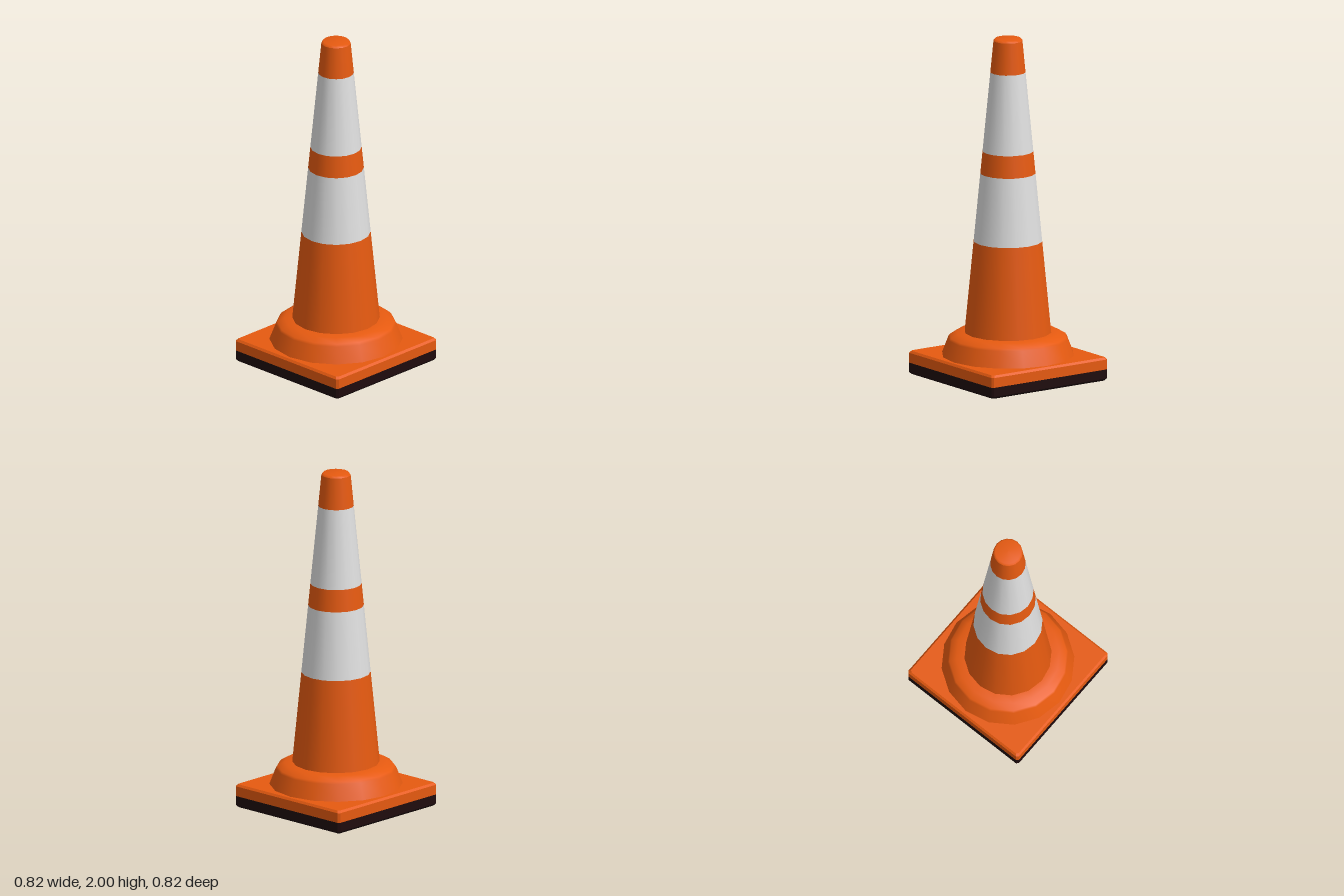
import * as THREE from 'three';

const SIDES = 16;

// Radius of the tapering body at height y
const bodyRadius = (y) => 0.252 - (y - 0.265) * 0.0975;

// Smooth turned part from [radius, height] pairs, listed bottom to top
function turned(name, profile, material) {
  const points = profile.map(([r, y]) => new THREE.Vector2(r, y));
  const mesh = new THREE.Mesh(new THREE.LatheGeometry(points, SIDES), material);
  mesh.name = name;
  return mesh;
}

// Flat-shaded square slab with cut corners, from [half width, height] rings, bottom to top
function slab(name, rings, material) {
  const cut = 0.012;
  const loops = rings.map(([h, y]) => {
    const k = h - cut;
    return [[k, h], [h, k], [h, -k], [k, -h], [-k, -h], [-h, -k], [-h, k], [-k, h]]
      .map(([x, z]) => [x, y, z]);
  });
  const positions = [];
  const tri = (a, b, c) => positions.push(...a, ...b, ...c);
  for (let r = 0; r < loops.length - 1; r++) {
    for (let i = 0; i < 8; i++) {
      const j = (i + 1) % 8;
      const [a, b, c, d] = [loops[r][i], loops[r][j], loops[r + 1][j], loops[r + 1][i]];
      tri(a, b, c);
      tri(a, c, d);
    }
  }
  // Close both ends
  const first = loops[0], last = loops[loops.length - 1];
  for (let i = 1; i < 7; i++) {
    tri(first[0], first[i + 1], first[i]);
    tri(last[0], last[i], last[i + 1]);
  }
  const geometry = new THREE.BufferGeometry();
  geometry.setAttribute('position', new THREE.Float32BufferAttribute(positions, 3));
  geometry.computeVertexNormals();
  const mesh = new THREE.Mesh(geometry, material);
  mesh.name = name;
  return mesh;
}

export function createModel() {
  const paint = (name, color) => {
    const material = new THREE.MeshStandardMaterial({ color });
    material.name = name;
    return material;
  };
  const orange = paint('orange plastic', 0xe65a10);
  const white = paint('reflective white', 0xe0e0e0);
  const black = paint('black rubber', 0x1e0b0d);

  const group = new THREE.Group();
  group.name = 'trafficCone';

  // Square foot: rubber sole below, orange plate above
  group.add(slab('rubberSole', [[0.402, 0], [0.412, 0.012], [0.412, 0.066]], black));
  group.add(slab('basePlate', [[0.412, 0.066], [0.412, 0.124], [0.401, 0.136]], orange));

  // Rounded collar around the foot of the cone
  group.add(turned('collar', [
    [0.384, 0.134], [0.347, 0.23], [0.338, 0.243], [0.298, 0.266], [0.24, 0.27],
  ], orange));

  // Body bands from bottom to top
  const bands = [
    ['lowerBody', 0.265, 0.805, orange],
    ['lowerStripe', 0.805, 1.205, white],
    ['middleBody', 1.205, 1.335, orange],
    ['upperStripe', 1.335, 1.8, white],
    ['upperBody', 1.8, 1.985, orange],
  ];
  for (const [name, y0, y1, material] of bands) {
    group.add(turned(name, [[bodyRadius(y0), y0], [bodyRadius(y1), y1]], material));
  }

  // Softened closed tip
  group.add(turned('tip', [[bodyRadius(1.985), 1.985], [0.074, 1.998], [0, 2]], orange));

  return group;
}
